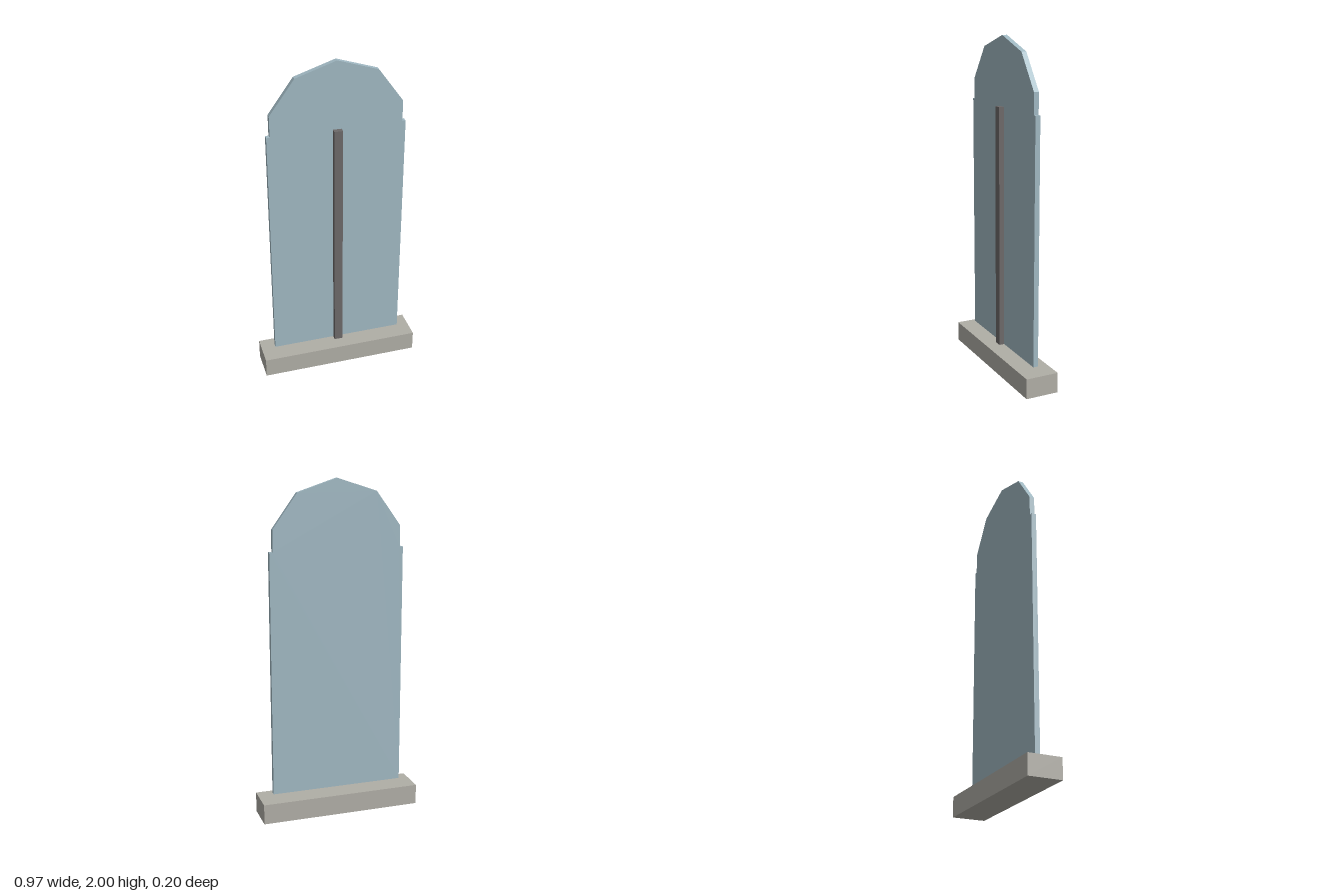
import * as THREE from 'three';

export function createModel() {
  const model = new THREE.Group();
  const mat = (name, color) => {
    const m = new THREE.MeshStandardMaterial({ color });
    m.name = name;
    return m;
  };
  const stone = mat('stone', 0xb0aea6);
  const glass = mat('paleBlueGlass', 0xa0b8c2);
  const iron = mat('darkIron', 0x6c6868);

  const add = (name, geometry, material) => {
    const mesh = new THREE.Mesh(geometry, material);
    mesh.name = name;
    model.add(mesh);
    return mesh;
  };
  const box = (name, material, w, h, d, y0, z) =>
    add(name, new THREE.BoxGeometry(w, h, d), material).position.set(0, y0 + h / 2, z);

  // Sill slab
  box('sill', stone, 0.968, 0.121, 0.2, 0, 0);

  // Pane: rectangle topped by half of a ten-sided arch, slightly narrower at the spring line
  const R = 0.403, bottom = 0.145, spring = 2 - R, depth = 0.03;
  const outline = new THREE.Shape();
  const shoulder = R * Math.cos(Math.PI / 10);
  outline.moveTo(-R, bottom);
  outline.lineTo(R, bottom);
  outline.lineTo(R, spring);
  outline.lineTo(shoulder, spring);
  for (let i = 0; i < 5; i++) {
    const a = Math.PI / 10 + (i * Math.PI) / 5;
    outline.lineTo(R * Math.cos(a), spring + R * Math.sin(a));
  }
  outline.lineTo(-shoulder, spring);
  outline.lineTo(-R, spring);
  outline.closePath();
  const pane = new THREE.ExtrudeGeometry(outline, { depth, bevelEnabled: false });
  pane.translate(0, 0, -depth / 2);
  add('archedPane', pane, glass);

  // Vertical bar on the front of the pane
  box('mullion', iron, 0.05, spring - bottom, 0.033, bottom, 0.0305);

  return model;
}
